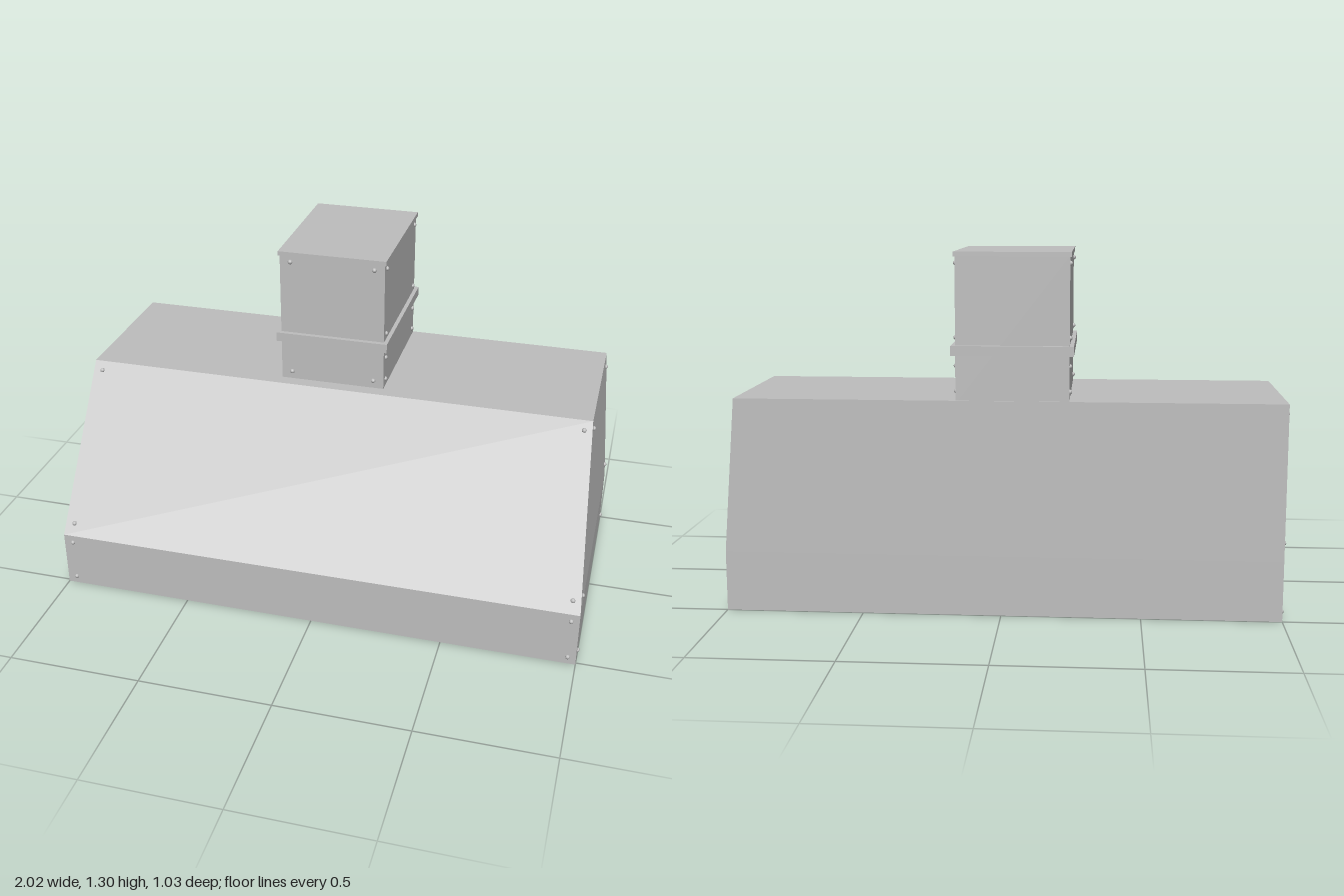
import * as THREE from 'three';

export function createModel() {
  const hood = new THREE.Group();
  hood.name = 'rangeHood';
  const steel = new THREE.MeshStandardMaterial({ color: 0xbebebe });
  steel.name = 'brushed steel';

  const add = (name, geometry, x = 0, y = 0, z = 0, parent = hood) => {
    const mesh = new THREE.Mesh(geometry, steel);
    mesh.name = name;
    mesh.position.set(x, y, z);
    parent.add(mesh);
    return mesh;
  };
  // Box given by its limits on each axis
  const box = (name, x0, x1, y0, y1, z0, z1) =>
    add(name, new THREE.BoxGeometry(x1 - x0, y1 - y0, z1 - z0),
      (x0 + x1) / 2, (y0 + y1) / 2, (z0 + z1) / 2);
  const points = (list) => list.map(([x, y]) => new THREE.Vector2(x, y));

  const rimTop = 0.22;
  // Left wall leans inward above the rim
  const leftX = (y) => 1 - Math.max(0, y - rimTop) * 0.08;
  const frontZ = (y) => 0.51 - Math.max(0, y - rimTop) * 0.75;

  // Open lower skirt: a rectangular frame
  const frame = new THREE.Shape(points([[-1, -0.51], [1, -0.51], [1, 0.5], [-1, 0.5]]));
  frame.holes.push(new THREE.Path(points([[-0.96, -0.47], [-0.96, 0.46], [0.96, 0.46], [0.96, -0.47]])));
  const skirt = new THREE.ExtrudeGeometry(frame, { depth: rimTop, bevelEnabled: false });
  skirt.rotateX(-Math.PI / 2);
  add('lowerSkirt', skirt);

  // Sloped canopy: side profile swept across the width
  const profile = new THREE.Shape(points([[-0.5, rimTop], [0.51, rimTop], [0.09, 0.78], [-0.495, 0.78]]));
  const canopy = new THREE.ExtrudeGeometry(profile, { depth: 2, bevelEnabled: false });
  canopy.rotateY(-Math.PI / 2).translate(1, 0, 0);
  const p = canopy.attributes.position;
  for (let i = 0; i < p.count; i++) if (p.getX(i) > 0) p.setX(i, leftX(p.getY(i)));
  canopy.computeVertexNormals();
  add('canopy', canopy);

  // Tilted baffle filter inside the opening
  const filter = new THREE.Group();
  filter.name = 'baffleFilter';
  filter.position.set(0, 0.15, -0.115);
  filter.rotation.x = -Math.atan2(0.11, 0.69);
  hood.add(filter);
  add('filterBacking', new THREE.BoxGeometry(1.92, 0.012, 0.7), 0, 0.012, 0, filter);
  const baffles = 18;
  for (let i = 0; i < baffles; i++) {
    const x = -0.96 + (i + 0.5) * 1.92 / baffles;
    const baffle = add('baffle', new THREE.BoxGeometry(0.075, 0.012, 0.69), x, -0.008, 0, filter);
    baffle.rotation.z = -0.6;
  }

  // Chimney duct with collar and cap
  box('chimney', -0.24, 0.16, 0.77, 1.29, -0.49, 0.04);
  box('chimneyCollar', -0.255, 0.175, 0.94, 0.975, -0.51, 0.057);
  box('chimneyCap', -0.245, 0.166, 1.283, 1.3, -0.496, 0.046);

  // Rivets near the panel corners
  const head = new THREE.SphereGeometry(0.009, 10, 6);
  for (const y of [0.03, 0.19, 0.26, 0.75]) {
    for (const x of [-0.965, leftX(y) - 0.03]) add('frontRivet', head, x, y, frontZ(y));
  }
  for (const [y, z] of [[0.03, 0.46], [0.03, -0.47], [0.26, 0.44], [0.28, -0.47], [0.74, 0.07], [0.74, -0.45]]) {
    for (const x of [-1, leftX(y)]) add('sideRivet', head, x, y, z);
  }
  for (const y of [0.81, 0.9, 1.0, 1.26]) {
    for (const x of [-0.24, 0.16]) for (const z of [-0.46, 0.01]) add('chimneyRivet', head, x, y, z);
  }
  for (const y of [0.81, 1.26]) for (const x of [-0.2, 0.12]) add('chimneyFrontRivet', head, x, y, 0.04);

  return hood;
}
